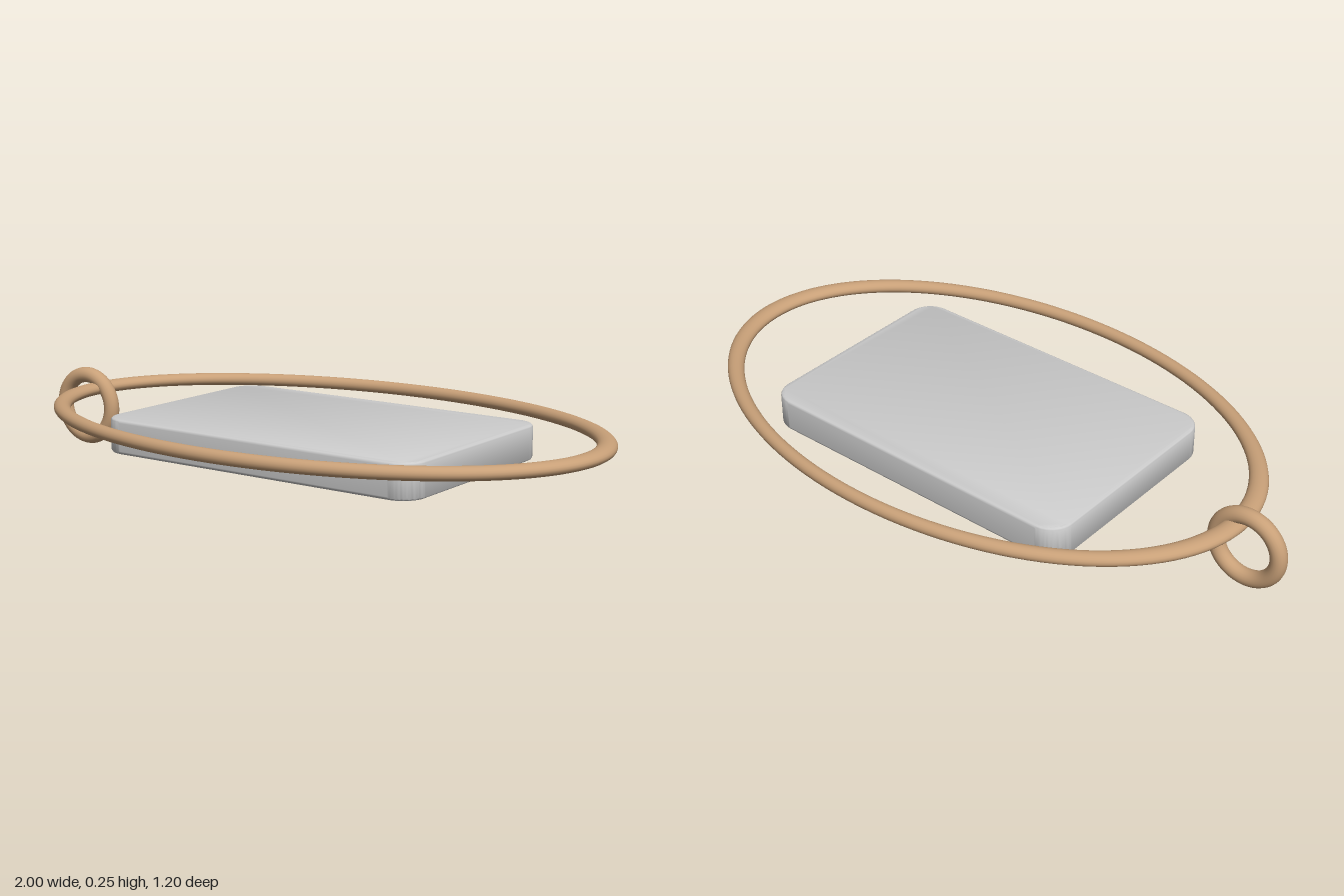
import * as THREE from 'three';
import { toCreasedNormals } from 'three/addons/utils/BufferGeometryUtils.js';

export function createModel() {
  const model = new THREE.Group();
  const tan = new THREE.MeshStandardMaterial({ color: 0xc8a078 });
  const grey = new THREE.MeshStandardMaterial({ color: 0xcccccc });
  const centreX = 0.067;

  function add(name, geometry, material, x, y, z) {
    const mesh = new THREE.Mesh(geometry, material);
    mesh.name = name;
    mesh.position.set(x, y, z);
    model.add(mesh);
    return mesh;
  }

  // Oval rim: a round torus laid flat and stretched along x
  const rim = new THREE.TorusGeometry(0.578, 0.02, 20, 128);
  rim.rotateX(Math.PI / 2);
  rim.scale(1.556, 1, 1);
  add('ovalRim', rim, tan, centreX, 0.188, 0);

  // Upright link hooked around the rim
  add('hangingLink', new THREE.TorusGeometry(0.102, 0.025, 20, 64), tan, -0.873, 0.127, 0);

  // Rounded slab in the middle of the rim
  const bevel = 0.01, height = 0.106, radius = 0.065;
  const w = 0.553 - bevel, d = 0.36 - bevel;
  const outline = new THREE.Shape();
  outline.absarc(w - radius, d - radius, radius, 0, Math.PI / 2);
  outline.absarc(-w + radius, d - radius, radius, Math.PI / 2, Math.PI);
  outline.absarc(-w + radius, -d + radius, radius, Math.PI, Math.PI * 1.5);
  outline.absarc(w - radius, -d + radius, radius, Math.PI * 1.5, Math.PI * 2);
  const slab = new THREE.ExtrudeGeometry(outline, {
    depth: height - 2 * bevel, bevelEnabled: true, bevelSize: bevel,
    bevelThickness: bevel, bevelSegments: 4, curveSegments: 10,
  });
  slab.translate(0, 0, bevel);
  slab.rotateX(-Math.PI / 2);
  add('slab', toCreasedNormals(slab, 0.6), grey, centreX, 0.083, 0);

  return model;
}
